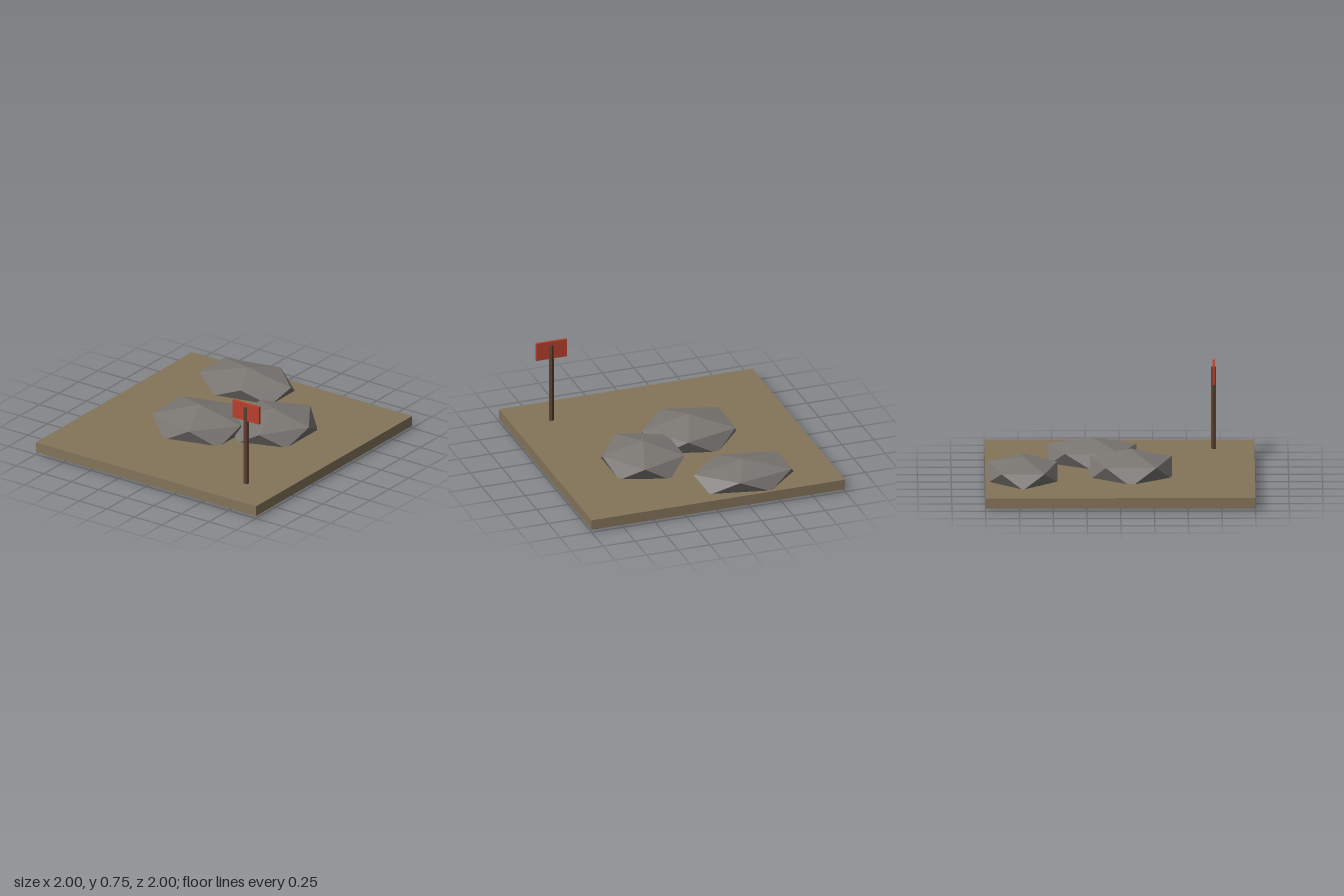
import * as THREE from 'three';

const material = (name, color) => {
  const m = new THREE.MeshStandardMaterial({ color, flatShading: true });
  m.name = name;
  return m;
};

export function createModel() {
  const earth = material('earth', 0x84745a);
  const stone = material('stone', 0x7a7672);
  const wood = material('wood', 0x5c4030);
  const red = material('red', 0xb8402e);

  const model = new THREE.Group();
  model.name = 'rockPlot';
  const add = (name, geometry, mat, x, y, z) => {
    const mesh = new THREE.Mesh(geometry, mat);
    mesh.name = name;
    mesh.position.set(x, y, z);
    model.add(mesh);
    return mesh;
  };

  // Ground slab
  add('ground', new THREE.BoxGeometry(2, 0.078, 2), earth, 0, 0.059, 0);

  // Flattened icosahedron boulders, each with a corner pointing straight up
  const tilt = -Math.atan(2 / (1 + Math.sqrt(5)));
  const boulders = [
    // x, z, radius x, radius y, radius z
    [-0.162, 0.08, 0.415, 0.143, 0.357],
    [0.307, -0.204, 0.357, 0.129, 0.385],
    [-0.3, -0.721, 0.443, 0.117, 0.302],
  ];
  boulders.forEach(([x, z, rx, ry, rz], i) => {
    const rock = new THREE.IcosahedronGeometry(1, 0).rotateZ(tilt).scale(rx, ry, rz);
    rock.computeVertexNormals();
    add(`boulder${i + 1}`, rock, stone, x, 0.143, z);
  });

  // Five-sided signpost, flat side to the front, with its board
  const post = new THREE.CylinderGeometry(0.021, 0.021, 0.7, 5).rotateY(Math.PI);
  add('signPost', post, wood, 0.697, 0.368, 0.698);
  add('signBoard', new THREE.BoxGeometry(0.24, 0.14, 0.019), red, 0.698, 0.677, 0.698);

  return model;
}
